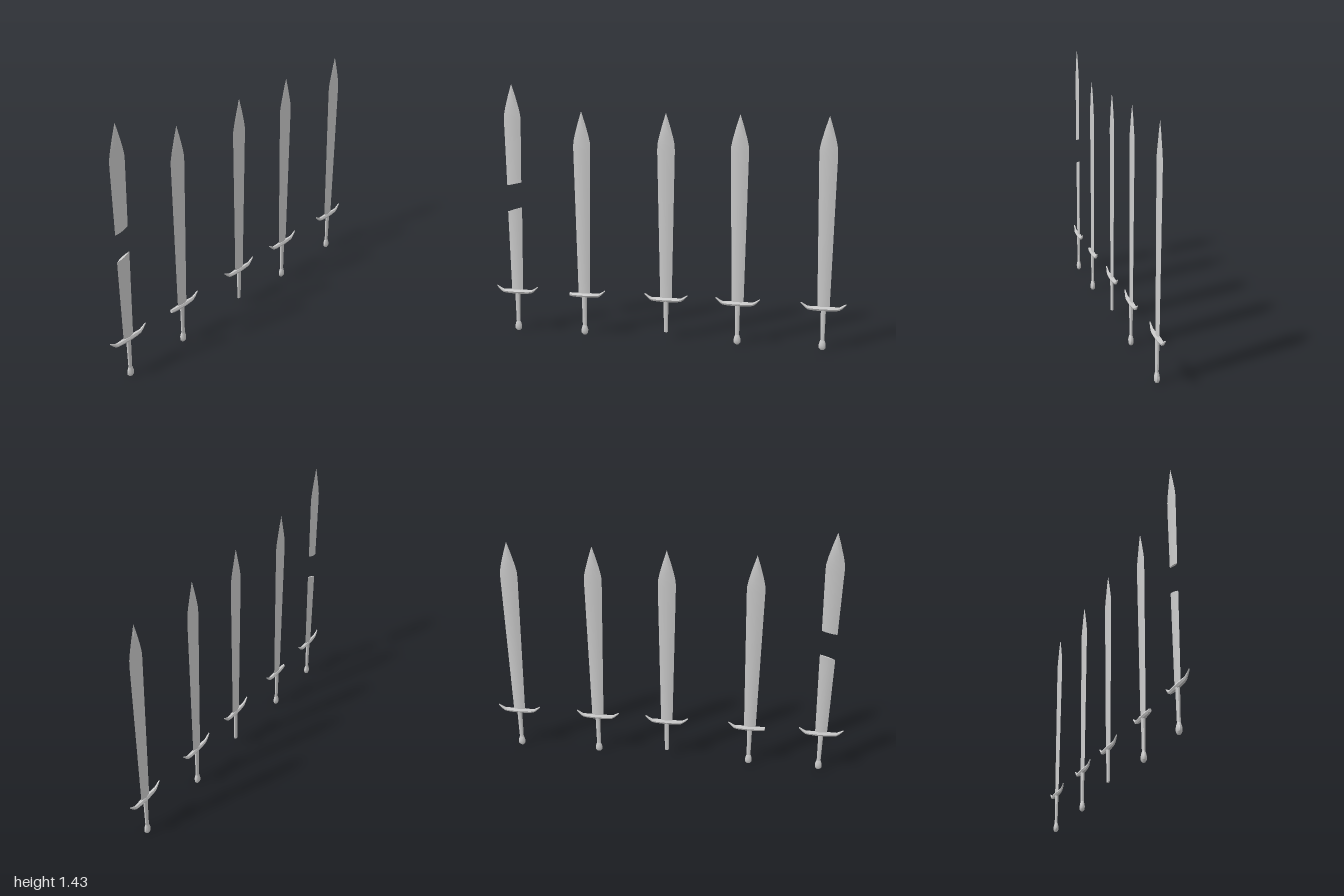
import * as THREE from 'three';
import { toCreasedNormals } from 'three/addons/utils/BufferGeometryUtils.js';

const steel = new THREE.MeshStandardMaterial({ color: 0xcccccc });

// Skins a list of equal-length rings of [x, y, z] points and closes both ends.
function loft(rings, crease = 0.6) {
  const n = rings[0].length, pos = rings.flat(2), index = [];
  for (let r = 0; r < rings.length - 1; r++) {
    for (let i = 0; i < n; i++) {
      const a = r * n + i, b = r * n + (i + 1) % n;
      index.push(a, b, a + n, b, b + n, a + n);
    }
  }
  const last = (rings.length - 1) * n;
  for (let i = 1; i < n - 1; i++) {
    index.push(0, i + 1, i, last, last + i, last + i + 1);
  }
  const g = new THREE.BufferGeometry();
  g.setAttribute('position', new THREE.Float32BufferAttribute(pos, 3));
  g.setIndex(index);
  return toCreasedNormals(g, crease);
}

function part(name, geometry) {
  const mesh = new THREE.Mesh(geometry, steel);
  mesh.name = name;
  return mesh;
}

// Blade profile: [height, half width, half thickness]
const BLADE = [
  [0.24, 0.033, 0.0065], [0.66, 0.041, 0.0065], [1.08, 0.049, 0.006],
  [1.115, 0.0475, 0.006], [1.155, 0.039, 0.0055], [1.22, 0.021, 0.005], [1.285, 0.0005, 0.0005],
];

// Lens-shaped blade section; tilt slants it for a broken end
function bladeRing([y, w, t], tilt = 0) {
  const ring = [];
  const us = [1, 0.55, 0, -0.55, -1, -0.55, 0, 0.55];
  us.forEach((u, i) => {
    const z = (1 - u * u) * t * (i < 4 ? -1 : 1);
    ring.push([u * w, y + u * w * tilt, z]);
  });
  return ring;
}

const fullBlade = () => loft(BLADE.map((s) => bladeRing(s)));
const lowerBlade = () => loft([bladeRing(BLADE[0]), bladeRing([0.66, 0.041, 0.0065]),
  bladeRing([0.723, 0.042, 0.0065], 0.32)]);
const upperBlade = () => loft([bladeRing([0.724, 0.042, 0.0065], 0.22),
  ...BLADE.slice(2).map((s) => bladeRing(s))]);

// Crossguard half: [x, bottom, top, half depth]
const GUARD = [
  [0, 0.226, 0.25, 0.0135], [0.03, 0.227, 0.25, 0.0132], [0.065, 0.229, 0.249, 0.011],
  [0.085, 0.232, 0.25, 0.0085], [0.1, 0.242, 0.258, 0.0065], [0.123, 0.265, 0.272, 0.003],
];

// Six-sided crossguard with upturned tips; the right tip may be snapped off
function guard(snapped) {
  const right = GUARD.slice(1, snapped ? 4 : 6).reverse().map(([x, ...r]) => [-x, ...r]);
  return loft([...right, ...GUARD].map(([x, b, t, d]) => {
    const m = (b + t) / 2;
    return [[x, b, d * 0.55], [x, b, -d * 0.55], [x, m, -d], [x, t, -d * 0.55], [x, t, d * 0.55], [x, m, d]];
  }), 0.45);
}

// Turned handle parts, flattened front to back
function turned(profile, depth) {
  const pts = profile.map(([r, y]) => new THREE.Vector2(r, y));
  return toCreasedNormals(new THREE.LatheGeometry(pts, 10).scale(1, 1, depth), 0.7);
}

function sword(name, x, { broken = false, snapped = false, pommel = true } = {}) {
  const g = new THREE.Group();
  g.name = name;
  g.position.x = x;
  if (broken) {
    const tip = part('brokenBladeTip', upperBlade());
    tip.position.y = 0.145;
    g.add(part('brokenBladeStump', lowerBlade()), tip);
  } else {
    g.add(part('blade', fullBlade()));
  }
  g.add(part('crossguard', guard(snapped)));
  g.add(part('grip', turned([[0, 0.05], [0.0115, 0.05], [0.013, 0.14], [0.0145, 0.235], [0, 0.235]], 0.7)));
  if (pommel) {
    g.add(part('pommel', turned([[0, 0.004], [0.011, 0.006], [0.019, 0.016], [0.02, 0.034],
      [0.015, 0.052], [0.011, 0.062], [0, 0.062]], 0.72)));
  }
  return g;
}

export function createModel() {
  const model = new THREE.Group();
  model.name = 'swordSet';
  model.add(
    sword('brokenSword', -0.876, { broken: true }),
    sword('snappedGuardSword', -0.476, { snapped: true }),
    sword('swordWithoutPommel', 0, { pommel: false }),
    sword('plainSword', 0.404),
    sword('endSword', 0.873),
  );
  return model;
}
